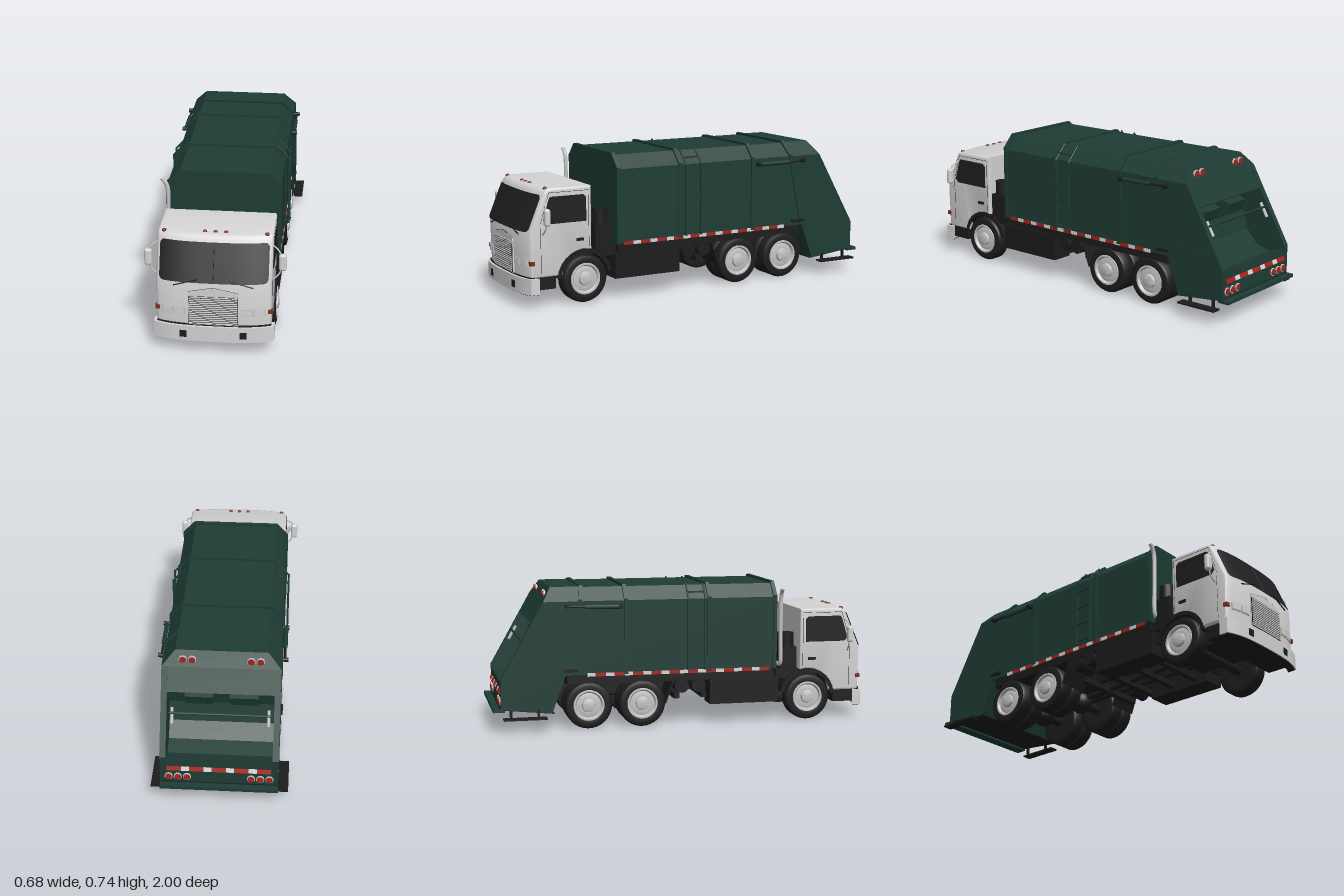
import * as THREE from 'three';
import { toCreasedNormals } from 'three/addons/utils/BufferGeometryUtils.js';
import { RoundedBoxGeometry } from 'three/addons/geometries/RoundedBoxGeometry.js';

const material = (name, color, side = THREE.FrontSide) => new THREE.MeshStandardMaterial({ name, color, side });
const green = material('body green', 0x1e3c34);
const white = material('cab white', 0xd4d4d4);
const black = material('chassis black', 0x1c1c1c);
const glass = material('dark glass', 0x1f1f1f, THREE.DoubleSide);
const rubber = material('tyre rubber', 0x1d1d1d);
const metal = material('light metal', 0xc4c4c4);
const red = material('lamp red', 0xa3241f);
const amber = material('marker red brown', 0x7c2c20);

const V = (x, y, z) => new THREE.Vector3(x, y, z);

export function createModel() {
  const root = new THREE.Group();
  root.name = 'refuseTruck';
  const add = (name, geo, mat) => {
    const mesh = new THREE.Mesh(geo, mat);
    mesh.name = name;
    root.add(mesh);
  };
  const at = (geo, x, y, z) => geo.translate(x, y, z);
  const box = (w, h, d, x, y, z, seg = 1) => at(new THREE.BoxGeometry(w, h, d, seg, 1, 1), x, y, z);
  const cylX = (r, len, x, y, z, n = 24) => at(new THREE.CylinderGeometry(r, r, len, n).rotateZ(Math.PI / 2), x, y, z);
  const tube = (pts, r, n = 24) => new THREE.TubeGeometry(new THREE.CatmullRomCurve3(pts, false, 'centripetal'), n, r, 8);
  const rod = (a, b, r) => new THREE.TubeGeometry(new THREE.LineCurve3(a, b), 1, r, 8);
  const shapeOf = pts => new THREE.Shape(pts.map(p => new THREE.Vector2(...p)));
  // Side profile given as (z, y), extruded across x from x0 to x1
  const across = (pts, x0, x1, opts = {}) => new THREE.ExtrudeGeometry(shapeOf(pts),
    { depth: x1 - x0, bevelEnabled: false, ...opts }).rotateY(-Math.PI / 2).translate(x1, 0, 0);
  const warp = (geo, rule) => {
    const p = geo.attributes.position, v = new THREE.Vector3();
    for (let i = 0; i < p.count; i++) {
      rule(v.fromBufferAttribute(p, i));
      p.setXYZ(i, v.x, v.y, v.z);
    }
    geo.computeVertexNormals();
    return geo;
  };
  // Bow across the cab front, strongest at the corners
  const bow = geo => warp(geo, v => {
    v.z -= (0.1 * v.x ** 2 + 4.5 * v.x ** 4) * THREE.MathUtils.clamp((v.z - 0.7) / 0.15, 0, 1);
  });
  const sides = fn => [1, -1].forEach(fn);

  // Cab shell with wheel arch and black arch liners
  const arc = (r, a0, a1) => Array.from({ length: 13 }, (_, i) => {
    const a = THREE.MathUtils.degToRad(a0 + (a1 - a0) * i / 12);
    return [0.665 + r * Math.cos(a), 0.125 + r * Math.sin(a)];
  });
  const cabProfile = [[0.625, 0.59], ...arc(0.145, 106, 10), [0.81, 0.15], [0.98, 0.15], [0.985, 0.38], [0.908, 0.565], [0.897, 0.582], [0.88, 0.59]];
  const cab = across(cabProfile, -0.266, 0.266,
    { steps: 20, bevelEnabled: true, bevelThickness: 0.01, bevelSize: 0.01, bevelOffset: -0.01, bevelSegments: 3 });
  add('cab', toCreasedNormals(bow(cab), 0.6), white);
  const liner = [...arc(0.13, 5, 170), ...arc(0.15, 170, 5)].reverse();
  sides(s => add('archLiner', across(liner, s > 0 ? 0.17 : -0.278, s > 0 ? 0.278 : -0.17), black));

  // Windscreen panel with rounded corners, laid on the sloping front
  const w = 0.26, h = 0.09, r = 0.022;
  const screen = warp(new THREE.PlaneGeometry(2, 2, 40, 4), v => {
    const x = w * Math.sin(v.x * Math.PI / 2);
    const t = Math.max(0, Math.abs(x) - (w - r));
    const y = v.y * (h - r + Math.sqrt(Math.max(0, r * r - t * t)));
    v.set(x, 0.47 + y, 0.99 - (y + 0.09) * 0.416);
  });
  add('windscreen', bow(screen), glass);
  add('windscreenDivider', rod(V(0, 0.382, 0.991), V(0, 0.558, 0.917), 0.0015), black);

  // Raised nose panel and grille
  const nose = new THREE.ExtrudeGeometry(shapeOf([[-0.12, 0.155], [0.12, 0.155], [0.12, 0.33], [0, 0.355], [-0.12, 0.33]]),
    { depth: 0.008, bevelEnabled: false }).translate(0, 0, 0.979);
  add('nosePanel', nose, white);
  sides(s => add('noseSeam', rod(V(s * 0.12, 0.331, 0.985), V(0, 0.356, 0.986), 0.001), black));
  add('grilleBacking', box(0.236, 0.152, 0.004, 0, 0.235, 0.988), black);
  for (let i = 0; i < 15; i++) add('grilleSlat', box(0.232, 0.0052, 0.005, 0, 0.165 + i * 0.01, 0.991), white);
  add('grilleTop', box(0.24, 0.005, 0.008, 0, 0.313, 0.988), metal);

  // Bumper with dark valance behind it
  add('bumper', bow(box(0.58, 0.08, 0.045, 0, 0.11, 0.9775, 24)), white);
  add('bumperSeam', bow(box(0.55, 0.006, 0.02, 0, 0.152, 0.978, 16)), black);
  add('bumperUnderside', bow(box(0.565, 0.004, 0.04, 0, 0.069, 0.975, 24)), black);
  add('valance', box(0.52, 0.07, 0.13, 0, 0.12, 0.882), black);

  sides(s => {
    // Front lamps and wipers
    add('fogLamp', bow(box(0.033, 0.035, 0.006, s * 0.145, 0.108, 1.0)), black);
    [0.163, 0.221].forEach(x => {
      add('headlightFrame', bow(box(0.054, 0.038, 0.006, s * x, 0.225, 0.985, 4)), metal);
      add('headlight', bow(box(0.046, 0.03, 0.006, s * x, 0.225, 0.988, 4)), white);
    });
    add('frontMarker', box(0.022, 0.02, 0.024, s * 0.271, 0.225, 0.947), amber);
    add('wiper', rod(V(s * 0.19, 0.36, 0.98), V(s * 0.075, 0.398, 0.988), 0.003), black);

    // Door window, seams and handle
    const win = across([[0.655, 0.415], [0.87, 0.415], [0.887, 0.435], [0.855, 0.54], [0.845, 0.55], [0.67, 0.55], [0.655, 0.535]], -0.002, 0.002);
    add('doorWindow', win.translate(s * 0.277, 0, 0), glass);
    const seam = [V(s * 0.276, 0.285, 0.64), V(s * 0.276, 0.57, 0.64), V(s * 0.276, 0.57, 0.855), V(s * 0.276, 0.42, 0.9), V(s * 0.276, 0.17, 0.9)];
    for (let i = 0; i < 4; i++) add('doorSeam', rod(seam[i], seam[i + 1], 0.001), black);
    add('doorHandle', box(0.008, 0.014, 0.04, s * 0.279, 0.325, 0.69), black);

    // Mirror on its arm
    add('mirror', at(new RoundedBoxGeometry(0.037, 0.086, 0.03, 3, 0.012), s * 0.322, 0.457, 0.885), white);
    add('mirrorArm', tube([V(s * 0.27, 0.54, 0.865), V(s * 0.308, 0.508, 0.885), V(s * 0.312, 0.457, 0.885), V(s * 0.308, 0.4, 0.885), V(s * 0.27, 0.36, 0.89)], 0.004), metal);
  });
  [-0.245, -0.05, 0, 0.05, 0.245].forEach(x =>
    add('roofMarker', at(new THREE.SphereGeometry(0.011, 12, 8).scale(1, 0.9, 1), x, 0.588, 0.86), amber));

  // Air cleaner, muffler and exhaust behind the cab
  add('airDuct', cylX(0.036, 0.4, 0, 0.41, 0.56), black);
  sides(s => {
    add('intakeBox', box(0.08, 0.13, 0.09, s * 0.235, 0.325, 0.56), black);
    add('airCanister', at(new THREE.CylinderGeometry(0.038, 0.038, 0.2, 20), s * 0.235, 0.365, 0.56), black);
  });
  add('exhaustPipe', tube([V(-0.19, 0.3, 0.515), V(-0.265, 0.3, 0.515), V(-0.277, 0.315, 0.515), V(-0.277, 0.5, 0.515),
    V(-0.277, 0.645, 0.515), V(-0.285, 0.675, 0.515), V(-0.307, 0.705, 0.515)], 0.011, 60), metal);

  // Refuse body and its ribs, from one chamfered section
  const section = [[-0.284, 0.28], [0.284, 0.28], [0.284, 0.66], [0.222, 0.727], [-0.222, 0.727], [-0.284, 0.66]];
  const along = (pts, z0, z1) => new THREE.ExtrudeGeometry(shapeOf(pts), { depth: z1 - z0, bevelEnabled: false }).translate(0, 0, z0);
  add('refuseBody', warp(along(section, -0.54, 0.475), v => { if (v.z < 0) v.z -= (0.73 - v.y) * 0.2; }), green);
  const ribSection = section.map(([x, y]) => [x * 1.025, 0.28 + (y - 0.28) * 1.025]);
  [[0.47, 0.49], [0.115, 0.135], [-0.325, -0.305]].forEach(([a, b]) => add('bodyRib', along(ribSection, a, b), green));
  add('rearBodyRib', warp(along(ribSection, -0.55, -0.53), v => { v.z -= (0.73 - v.y) * 0.2; }), green);

  // Tailgate: crown, solid core with hopper recess, side plates
  const crown = across([[-0.54, 0.73], [-0.697, 0.73], [-0.74, 0.66], [-0.554, 0.66]], -0.29, 0.29);
  add('tailgateCrown', warp(crown, v => { if (v.y > 0.7) v.x = Math.sign(v.x) * 0.225; }), green);
  add('hopper', across([[-0.554, 0.66], [-0.63, 0.28], [-0.70, 0.09], [-0.96, 0.12], [-0.957, 0.25], [-0.92, 0.24], [-0.87, 0.225],
    [-0.79, 0.25], [-0.73, 0.32], [-0.705, 0.42], [-0.735, 0.53], [-0.8, 0.55], [-0.738, 0.66]], -0.262, 0.262), green);
  add('tailgateFloor', across([[-0.965, 0.122], [-0.965, 0.116], [-0.69, 0.087], [-0.69, 0.093]], -0.288, 0.288), black);
  // Round lamp with a light rim
  const lamp = (x, y, z) => [[0.02, 0.008, metal], [0.016, 0.016, red]].forEach(([rad, d, m]) =>
    add('rearLamp', at(new THREE.CylinderGeometry(rad, rad, d, 20).rotateX(-Math.PI / 2), x, y, z), m));
  sides(s => {
    add('tailgateSide', across([[-0.554, 0.66], [-0.63, 0.28], [-0.7, 0.09], [-0.96, 0.12], [-0.96, 0.27], [-0.74, 0.66]],
      s > 0 ? 0.26 : -0.29, s > 0 ? 0.29 : -0.26), green);
    [[-0.65, 0.55, 0.12], [-0.74, 0.375, 0.2], [-0.75, 0.31, 0.24]].forEach(([z, y, l]) =>
      add('sideCrease', at(new THREE.BoxGeometry(0.008, 0.008, l).rotateX(0.2), s * 0.288, y, z), green));
    add('hopperBlade', at(new THREE.BoxGeometry(0.14, 0.06, 0.05).rotateX(-0.35), s * 0.11, 0.48, -0.735), green);
    add('hopperRam', rod(V(s * 0.235, 0.48, -0.825), V(s * 0.235, 0.41, -0.865), 0.008), metal);
    [0.143, 0.188].forEach(x => lamp(s * x, 0.692, -0.722));
    [0.157, 0.202, 0.247].forEach(x => lamp(s * x, 0.155, -0.961));
    // Riding step
    add('ridingStep', box(0.05, 0.008, 0.22, s * 0.315, 0.072, -0.84), black);
    [-0.77, -0.91].forEach(z => add('stepHanger', box(0.012, 0.04, 0.012, s * 0.286, 0.09, z), black));
  });
  add('rearPlatform', box(0.58, 0.016, 0.06, 0, 0.112, -0.97), green);
  add('hopperBeam', cylX(0.006, 0.5, 0, 0.462, -0.85, 10), green);

  // Reflective tape
  for (let i = 0; i < 20; i++) {
    sides(s => add('sideTape', box(0.005, 0.018, i % 2 ? 0.042 : 0.055, s * 0.2845, 0.281, 0.425 - i * 0.0485), i % 2 ? white : red));
  }
  for (let i = 0; i < 9; i++) {
    add('rearTape', at(new THREE.BoxGeometry(i % 2 ? 0.04 : 0.07, 0.022, 0.008).rotateX(0.35), -0.22 + i * 0.055, 0.206, -0.962), i % 2 ? white : red);
  }

  sides(s => {
    // Ladder, its rails following the roof chamfer
    [0.01, 0.1].forEach(z => {
      add('ladderRail', box(0.01, 0.37, 0.009, s * 0.304, 0.475, z), green);
      add('ladderTop', rod(V(s * 0.304, 0.658, z), V(s * 0.232, 0.735, z), 0.005), green);
      add('ladderBracket', box(0.03, 0.009, 0.009, s * 0.292, 0.3, z), green);
    });
    for (let i = 0; i < 5; i++) add('ladderRung', box(0.009, 0.009, 0.09, s * (i < 4 ? 0.304 : 0.272), 0.31 + i * 0.096, 0.055), green);
    // Tailgate lift cylinder
    add('liftCylinder', rod(V(s * 0.302, 0.63, -0.35), V(s * 0.302, 0.632, -0.53), 0.011), green);
    add('liftRod', rod(V(s * 0.302, 0.632, -0.52), V(s * 0.302, 0.635, -0.62), 0.006), black);
    [[0.63, -0.345], [0.635, -0.62]].forEach(([y, z]) => add('liftPivot', cylX(0.011, 0.034, s * 0.302, y, z, 16), black));
    add('tailgateLatch', box(0.014, 0.014, 0.07, s * 0.292, 0.305, -0.6), black);

    // Side tanks and frame
    add('sideTank', box(0.12, 0.135, 0.37, s * 0.225, 0.17, 0.315), black);
    add('tankStrap', box(0.125, 0.03, 0.06, s * 0.225, 0.225, 0.44), black);
    [0.07, -0.02].forEach(z => add('airTank', cylX(0.037, 0.12, s * 0.22, 0.205, z), black));
    add('frameRail', box(0.035, 0.09, 1.5, s * 0.085, 0.2, 0.14), black);
    add('mudFlap', at(new THREE.BoxGeometry(0.16, 0.14, 0.008).rotateX(0.35), s * 0.2, 0.18, -0.085), black);
    add('fenderRear', box(0.1, 0.05, 0.09, s * 0.22, 0.25, 0.535), black);
  });
  add('subframe', box(0.55, 0.04, 1.1, 0, 0.253, -0.07), black);
  add('rearSubframe', box(0.22, 0.1, 0.55, 0, 0.21, -0.36), black);
  add('engine', box(0.26, 0.16, 0.4, 0, 0.21, 0.7), black);
  add('driveShaft', rod(V(0, 0.17, 0.5), V(0, 0.13, -0.51), 0.016), black);
  for (let i = 0; i < 4; i++) add('crossMember', box(0.4, 0.03, 0.03, 0, 0.14, 0.42 - i * 0.15), black);

  // Wheels: lathe profiles as (radius, offset along axle)
  const lathe = pts => toCreasedNormals(new THREE.LatheGeometry(pts.map(p => new THREE.Vector2(...p)), 40), 0.6);
  const tyre = lathe([[0.02, -0.036], [0.07, -0.036], [0.1, -0.04], [0.115, -0.035], [0.122, -0.024], [0.122, 0.024],
    [0.115, 0.035], [0.1, 0.04], [0.078, 0.037], [0.07, 0.02], [0.02, 0.02]]);
  const rim = lathe([[0.081, 0.036], [0.079, 0.042], [0.071, 0.042], [0.064, 0.03], [0.05, 0.034], [0.036, 0.034], [0.033, 0.046], [0.022, 0.05], [0, 0.05]]);
  const wheel = (s, x, z, outer) => {
    const g = new THREE.Group();
    g.name = outer ? 'outerWheel' : 'innerWheel';
    [['tyre', tyre, rubber], ['rim', rim, metal]].slice(0, outer ? 2 : 1).forEach(([name, geo, mat]) => {
      const m = new THREE.Mesh(geo, mat);
      m.name = name;
      g.add(m);
    });
    g.rotation.z = -s * Math.PI / 2;
    g.position.set(s * x, 0.122, z);
    root.add(g);
  };
  [0.665, -0.23, -0.51].forEach((z, i) => {
    sides(s => {
      wheel(s, 0.245, z, true);
      if (i) wheel(s, 0.163, z, false);
    });
    add('axle', cylX(0.025, 0.46, 0, 0.122, z, 16), black);
    if (i) add('differential', at(new THREE.SphereGeometry(0.06, 20, 14), 0, 0.125, z), black);
  });
  return root;
}
